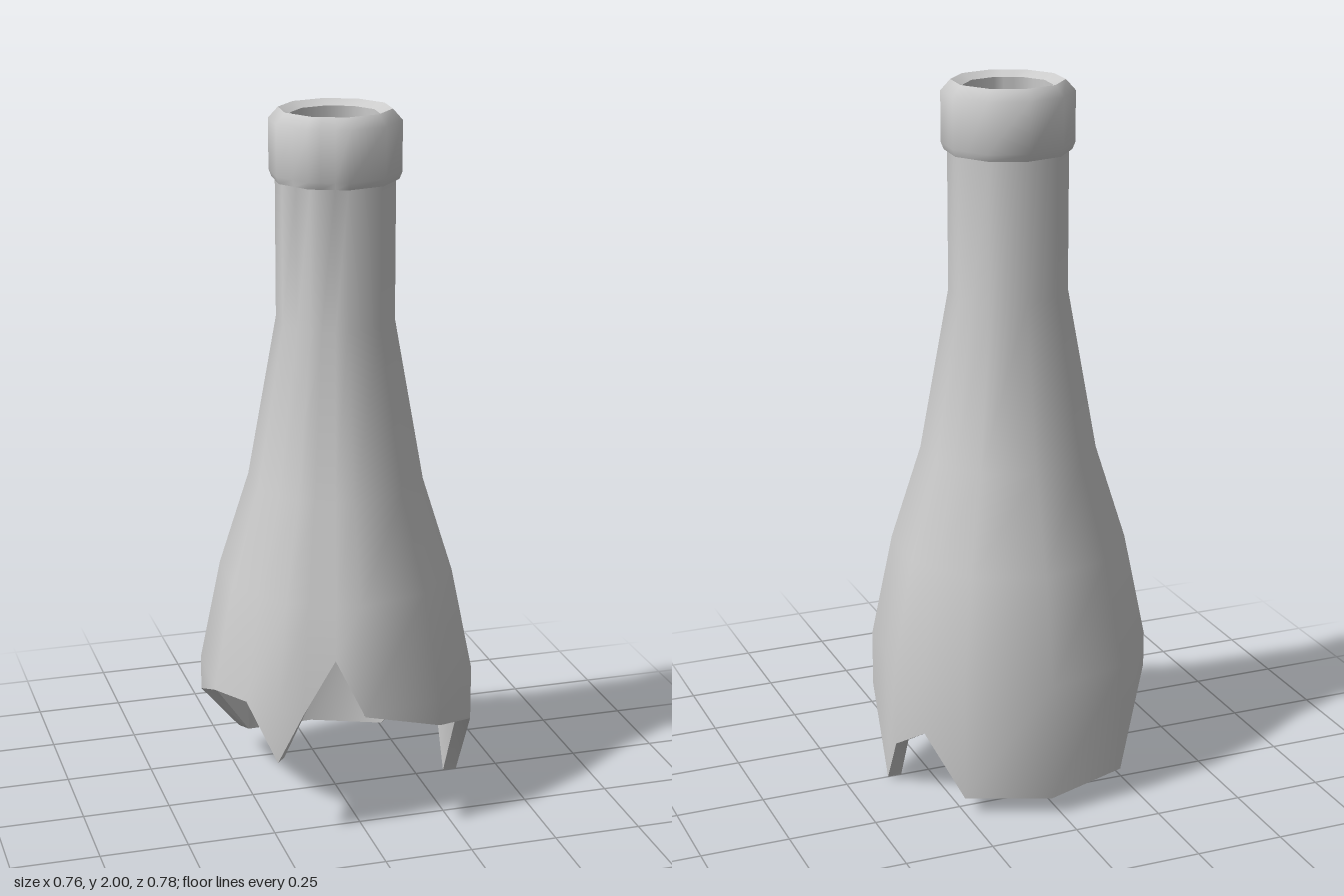
import * as THREE from 'three';
import { toCreasedNormals } from 'three/addons/utils/BufferGeometryUtils.js';

const SIDES = 10;
const STEP = 360 / SIDES;
const FIRST = 22; // angle of the first polygon corner, from +x towards +z
const WALL = 0.042;

// Outer profile [radius, height], from the rim down to the body
const LIP = [[0.155, 2], [0.182, 1.97], [0.182, 1.83], [0.174, 1.81], [0.165, 1.81]];
const BODY = [[0.165, 1.42], [0.247, 0.96], [0.332, 0.69], [0.393, 0.39]];
// Inner profile, from the body up to the mouth
const MOUTH = [[0.123, 1.42], [0.122, 1.985]];

// Broken edge: [angle, height of the break]
const BREAK = [
  [0, 0], [22, 0.23], [58, 0.31], [94, 0.39], [106, 0.54], [119.4, 0.39], [130, 0.24], [147.6, 0.39],
  [166, 0.39], [202, 0.29], [238, 0.07], [274, 0.05], [310, 0.05], [331, 0.21], [346, 0.15],
];

// Body radius at a height, straight between profile points
function bodyRadius(y) {
  for (let i = 1; i < BODY.length; i++) {
    const [r0, y0] = BODY[i - 1], [r1, y1] = BODY[i];
    if (y >= y1) return r0 + (r1 - r0) * (y0 - y) / (y0 - y1);
  }
  return BODY[BODY.length - 1][0];
}

// Closed wall section at one angle, cut off at the break height
function column([angle, cut]) {
  const outer = BODY.map(([, y]) => Math.max(y, cut)).concat(cut).map((y) => [bodyRadius(y), y]);
  const inner = outer.slice(1).reverse().map(([r, y]) => [r - WALL, y]);
  // keep points between corners on the flat sides of the polygon
  const offset = ((angle - FIRST + 360) % STEP) - STEP / 2;
  const rad = THREE.MathUtils.degToRad;
  const flat = Math.cos(rad(STEP / 2)) / Math.cos(rad(offset));
  return [...LIP, ...outer, ...inner, ...MOUTH].map(([r, y]) =>
    new THREE.Vector3(r * flat * Math.cos(rad(angle)), y, r * flat * Math.sin(rad(angle))));
}

// Skin the sections into one closed shell
function shellGeometry() {
  const columns = BREAK.map(column);
  const positions = [];
  const triangle = (a, b, c) => {
    if (new THREE.Triangle(a, b, c).getArea() < 1e-7) return;
    for (const p of [a, b, c]) positions.push(p.x, p.y, p.z);
  };
  columns.forEach((a, i) => {
    const b = columns[(i + 1) % columns.length];
    for (let j = 0; j < a.length; j++) {
      const k = (j + 1) % a.length;
      triangle(a[j], b[j], b[k]);
      triangle(a[j], b[k], a[k]);
    }
  });
  const geometry = new THREE.BufferGeometry();
  geometry.setAttribute('position', new THREE.Float32BufferAttribute(positions, 3));
  return toCreasedNormals(geometry, 0.95);
}

export function createModel() {
  const group = new THREE.Group();
  group.name = 'brokenBottle';
  const material = new THREE.MeshStandardMaterial({ color: 0xcccccc });
  const shell = new THREE.Mesh(shellGeometry(), material);
  shell.name = 'bottleNeckAndShoulder';
  group.add(shell);
  return group;
}
